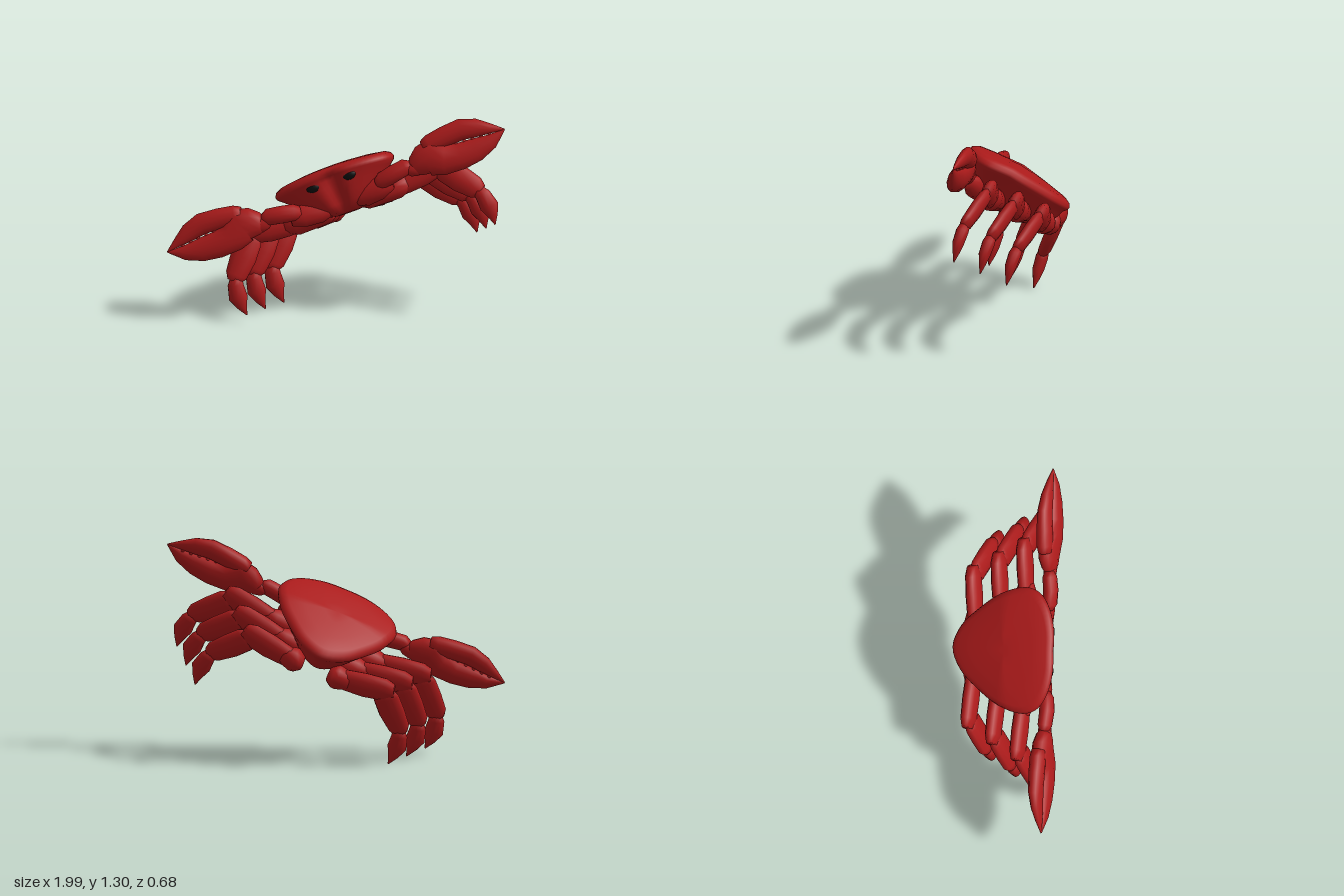
import * as THREE from 'three';

const V = (x, y, z) => new THREE.Vector3(x, y, z);
const red = new THREE.MeshStandardMaterial({ color: 0xaa1a1a });
const black = new THREE.MeshStandardMaterial({ color: 0x0a0a0a });

// Skin a list of closed rings and cap both ends
function skin(rings, name) {
  const n = rings[0].length, pos = [], index = [];
  rings.forEach(r => r.forEach(p => pos.push(p.x, p.y, p.z)));
  for (let i = 0; i < rings.length - 1; i++) {
    for (let j = 0; j < n; j++) {
      const k = (j + 1) % n;
      const a = i * n + j, b = i * n + k, c = a + n, d = b + n;
      index.push(a, b, d, a, d, c);
    }
  }
  [rings[0], rings[rings.length - 1]].forEach((ring, end) => {
    const centre = ring.reduce((s, p) => s.add(p), V(0, 0, 0)).divideScalar(n);
    const c = pos.length / 3, base = end ? (rings.length - 1) * n : 0;
    pos.push(centre.x, centre.y, centre.z);
    for (let j = 0; j < n; j++) {
      const k = (j + 1) % n;
      if (end) index.push(c, base + j, base + k);
      else index.push(c, base + k, base + j);
    }
  });
  const g = new THREE.BufferGeometry();
  g.setAttribute('position', new THREE.Float32BufferAttribute(pos, 3));
  g.setIndex(index);
  g.computeVertexNormals();
  const mesh = new THREE.Mesh(g, red);
  mesh.name = name;
  return mesh;
}

// Limb piece through stations [x, y, z, half height, half depth]; side mirrors x
function limb(name, side, stations, offset = V(0, 0, 0)) {
  const pts = stations.map(s => V(side * (s[0] + offset.x), s[1] + offset.y, s[2] + offset.z));
  const last = pts.length - 1;
  const rings = stations.map((s, i) => {
    const t = pts[Math.min(i + 1, last)].clone().sub(pts[Math.max(i - 1, 0)]).normalize();
    const u = V(0, 0, 1).cross(t).normalize(), v = t.clone().cross(u);
    return Array.from({ length: 12 }, (_, j) => {
      const a = j / 12 * Math.PI * 2;
      return pts[i].clone().addScaledVector(u, Math.cos(a) * s[3]).addScaledVector(v, Math.sin(a) * s[4]);
    });
  });
  return skin(rings, name);
}

// Rounded triangular shell and the body beneath it
function makeBody() {
  const half = [[0.13, 0.208], [0.26, 0.17], [0.345, 0.105], [0.375, 0.015], [0.33, -0.15], [0.235, -0.295], [0.13, -0.41]];
  const outline = new THREE.CatmullRomCurve3([
    V(0, 0, 0.212), ...half.map(p => V(p[0], 0, p[1])),
    V(0, 0, -0.465), ...half.slice().reverse().map(p => V(-p[0], 0, p[1])),
  ], true).getPoints(64).slice(0, 64);
  // [height, width scale, length scale]
  const levels = [
    [-0.195, 0.2, 0.4], [-0.18, 0.4, 0.58], [-0.13, 0.55, 0.74], [-0.07, 0.68, 0.82], [-0.02, 0.82, 0.89], [0.02, 0.93, 0.93],
    [0.042, 0.99, 0.98], [0.06, 1, 1], [0.082, 0.97, 0.97], [0.095, 0.88, 0.88], [0.1, 0.6, 0.6], [0.102, 0.25, 0.25],
  ];
  const rings = levels.map(([y, sx, sz]) => outline.map(p => {
    const z = -0.1 + (p.z + 0.1) * sz, x = p.x * sx;
    // shell falls away toward the back and the sides
    const drop = y > -0.1 ? Math.max(0, -0.1 - z) * 0.2 + 0.2 * x * x : 0;
    // groove between the eye sockets, only on the face
    const groove = p.z > 0.1 && y > -0.15 && y < 0.05 ? 0.035 * Math.exp(-((x / 0.05) ** 2)) : 0;
    return V(x, y - drop, z - groove);
  }));
  return skin(rings, 'shellAndBody');
}

function makeEye(side) {
  const eye = new THREE.Mesh(new THREE.SphereGeometry(0.038, 16, 12), black);
  eye.name = side > 0 ? 'leftEye' : 'rightEye';
  eye.scale.set(1.1, 0.8, 0.4);
  eye.position.set(side * 0.115, 0.012, 0.176);
  return eye;
}

function makeLeg(side, i) {
  const leg = new THREE.Group();
  leg.name = (side > 0 ? 'left' : 'right') + 'Leg' + (i + 1);
  const o = V(-0.088 * i, 0, -0.16 * i);
  // roots stay clear of the belly's midline
  const start = 0.085 + 0.088 * i;
  leg.add(
    limb('legRoot', side, [
      [start, -0.15, -0.05, 0.045, 0.05], [start + 0.035, -0.148, -0.055, 0.068, 0.075],
      [0.32, -0.145, -0.06, 0.075, 0.066], [0.39, -0.14, -0.06, 0.055, 0.045],
    ], o),
    limb('upperLeg', side, [
      [0.32, -0.15, -0.06, 0.045, 0.035], [0.36, -0.142, -0.06, 0.068, 0.043],
      [0.48, -0.122, -0.062, 0.08, 0.045], [0.605, -0.097, -0.063, 0.075, 0.042], [0.655, -0.082, -0.064, 0.045, 0.03],
    ], o),
    limb('middleLeg', side, [
      [0.592, -0.1, -0.062, 0.048, 0.028], [0.628, -0.15, -0.058, 0.078, 0.04],
      [0.692, -0.232, -0.05, 0.079, 0.042], [0.765, -0.315, -0.042, 0.066, 0.038], [0.792, -0.345, -0.04, 0.04, 0.028],
    ], o),
    limb('legTip', side, [
      [0.77, -0.33, -0.04, 0.036, 0.03], [0.79, -0.37, -0.043, 0.048, 0.038],
      [0.802, -0.445, -0.052, 0.057, 0.035], [0.8, -0.5, -0.064, 0.032, 0.021], [0.793, -0.558, -0.075, 0.003, 0.003],
    ], o),
  );
  return leg;
}

function makeClaw(side) {
  const claw = new THREE.Group();
  claw.name = side > 0 ? 'leftClaw' : 'rightClaw';
  claw.add(
    limb('armRoot', side, [
      [0.07, -0.13, 0.04, 0.045, 0.05], [0.14, -0.132, 0.055, 0.068, 0.06],
      [0.24, -0.122, 0.075, 0.07, 0.055], [0.32, -0.115, 0.095, 0.045, 0.035],
    ]),
    limb('upperArm', side, [
      [0.25, -0.093, 0.105, 0.035, 0.032], [0.28, -0.088, 0.118, 0.05, 0.042],
      [0.36, -0.073, 0.126, 0.052, 0.044], [0.44, -0.06, 0.122, 0.05, 0.042], [0.47, -0.06, 0.118, 0.03, 0.03],
    ]),
    limb('wrist', side, [
      [0.43, -0.075, 0.116, 0.025, 0.03], [0.46, -0.08, 0.114, 0.045, 0.038],
      [0.5, -0.085, 0.114, 0.05, 0.04], [0.54, -0.085, 0.114, 0.035, 0.035],
    ]),
    limb('palmAndLowerFinger', side, [
      [0.475, -0.085, 0.114, 0.045, 0.03], [0.5, -0.078, 0.114, 0.066, 0.046], [0.555, -0.058, 0.115, 0.092, 0.056],
      [0.605, -0.052, 0.116, 0.113, 0.058], [0.68, -0.1, 0.117, 0.09, 0.055], [0.78, -0.111, 0.118, 0.08, 0.048],
      [0.88, -0.106, 0.12, 0.07, 0.038], [0.98, -0.09, 0.122, 0.044, 0.025], [1.077, -0.052, 0.125, 0.003, 0.003],
    ]),
    limb('upperFinger', side, [
      [0.585, 0.008, 0.116, 0.048, 0.04], [0.625, 0.018, 0.116, 0.058, 0.046], [0.72, 0.03, 0.117, 0.062, 0.046],
      [0.83, 0.037, 0.118, 0.064, 0.041], [0.92, 0.014, 0.12, 0.054, 0.033],
      [1.0, -0.018, 0.122, 0.029, 0.02], [1.077, -0.05, 0.125, 0.003, 0.003],
    ]),
  );
  // blunt teeth between the fingers
  for (let i = 0; i < 6; i++) {
    const tooth = new THREE.Mesh(new THREE.SphereGeometry(0.012, 8, 6), red);
    tooth.name = 'clawTooth';
    tooth.position.set(side * (0.72 + i * 0.052), -0.03 - i * 0.003, 0.118);
    claw.add(tooth);
  }
  return claw;
}

export function createModel() {
  const crab = new THREE.Group();
  crab.name = 'crab';
  crab.add(makeBody());
  for (const side of [1, -1]) {
    crab.add(makeEye(side), makeClaw(side));
    for (let i = 0; i < 3; i++) crab.add(makeLeg(side, i));
  }
  // tilted pose: rolled to its right, back end lowered
  const x = V(0.923, 0.38, -0.056).normalize();
  const z = x.clone().cross(V(-0.376, 0.857, -0.35)).normalize();
  const y = z.clone().cross(x);
  crab.quaternion.setFromRotationMatrix(new THREE.Matrix4().makeBasis(x, y, z));
  crab.position.set(-0.013, 0.85, 0.1);
  const model = new THREE.Group();
  model.name = 'crabModel';
  model.add(crab);
  return model;
}
